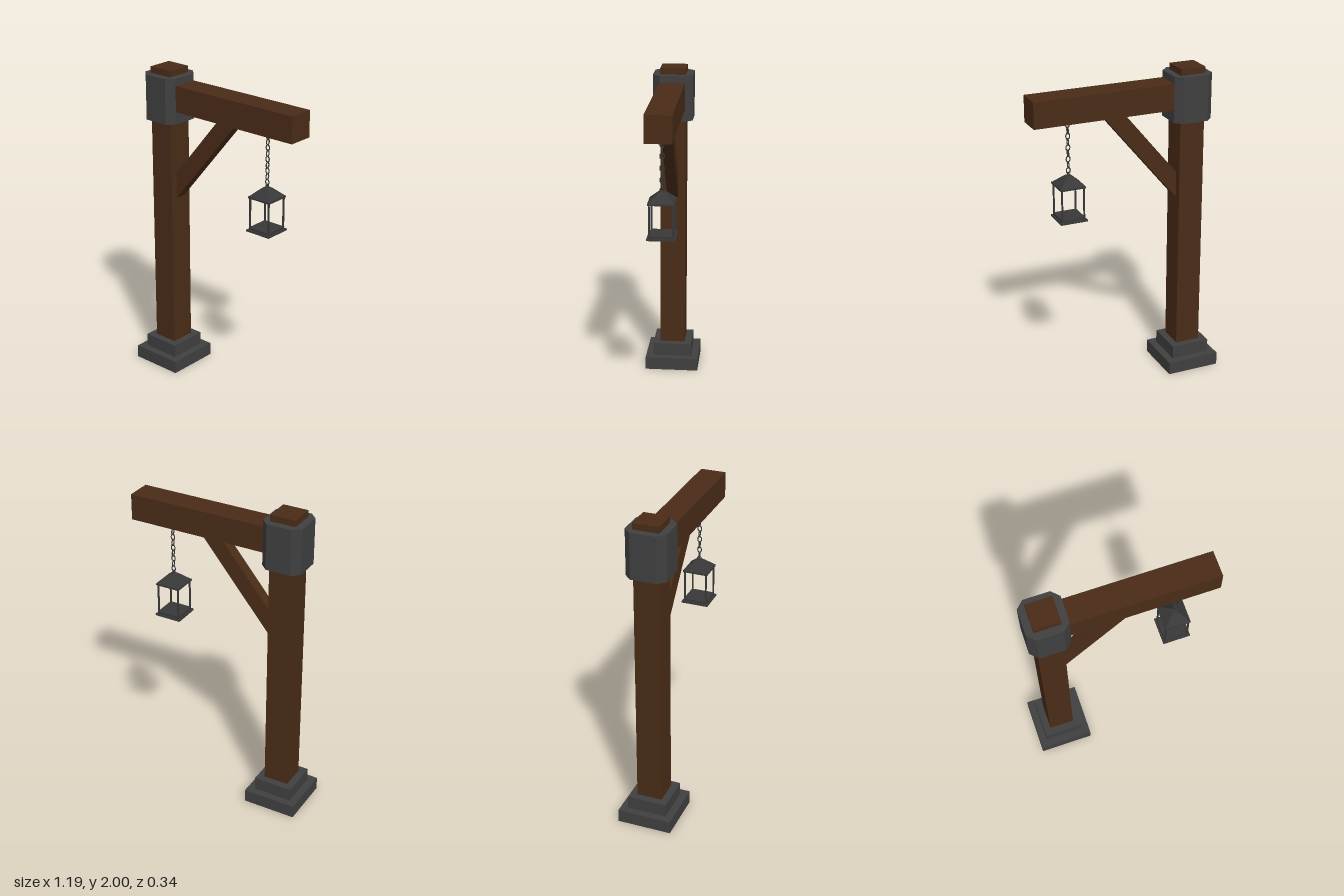
import * as THREE from 'three';

const wood = new THREE.MeshStandardMaterial({ color: 0x4a2c17, flatShading: true });
const stone = new THREE.MeshStandardMaterial({ color: 0x404040, flatShading: true });
const iron = new THREE.MeshStandardMaterial({ color: 0x383838, flatShading: true });

const POST_X = -0.423;
const LAMP_X = 0.355;

function add(parent, name, geometry, material, x = 0, y = 0, z = 0) {
  const mesh = new THREE.Mesh(geometry, material);
  mesh.name = name;
  mesh.position.set(x, y, z);
  parent.add(mesh);
  return mesh;
}

// Box given by its bottom and top heights
function block(parent, name, material, x, z, width, depth, y0, y1) {
  const geometry = new THREE.BoxGeometry(width, y1 - y0, depth);
  return add(parent, name, geometry, material, x, (y0 + y1) / 2, z);
}

function extrude(points, depth) {
  const shape = new THREE.Shape(points.map(([x, y]) => new THREE.Vector2(x, y)));
  return new THREE.ExtrudeGeometry(shape, { depth, bevelEnabled: false });
}

// Square frustum between two half widths
function frustum(parent, name, material, bottom, top, y0, y1) {
  const geometry = new THREE.CylinderGeometry(top * Math.SQRT2, bottom * Math.SQRT2, y1 - y0, 4);
  geometry.rotateY(Math.PI / 4);
  return add(parent, name, geometry, material, 0, (y0 + y1) / 2, 0);
}

function createLantern() {
  const lantern = new THREE.Group();
  lantern.name = 'lantern';
  lantern.position.x = LAMP_X;

  // Floor plate and corner rods
  block(lantern, 'lanternFoot', iron, 0, 0, 0.172, 0.172, 1.132, 1.143);
  block(lantern, 'lanternFloor', iron, 0, 0, 0.15, 0.15, 1.143, 1.157);
  for (const sx of [-1, 1]) {
    for (const sz of [-1, 1]) {
      block(lantern, 'lanternRod', iron, sx * 0.07, sz * 0.07, 0.009, 0.009, 1.15, 1.348);
    }
  }

  // Roof with a flat eave and a stepped pyramid
  block(lantern, 'lanternEave', iron, 0, 0, 0.16, 0.16, 1.344, 1.355);
  frustum(lantern, 'lanternRoof', iron, 0.077, 0.034, 1.355, 1.396);
  frustum(lantern, 'lanternCap', iron, 0.034, 0.017, 1.396, 1.411);
  add(lantern, 'lanternRing', new THREE.TorusGeometry(0.013, 0.0035, 6, 12), iron, 0, 1.418, 0)
    .rotation.y = Math.PI / 2;
  return lantern;
}

function createChain() {
  const chain = new THREE.Group();
  chain.name = 'chain';
  const linkGeometry = new THREE.TorusGeometry(0.0125, 0.0035, 6, 12);
  linkGeometry.scale(1, 1.45, 1);
  // Links turn a quarter from one to the next
  for (let i = 0; i < 9; i++) {
    const link = add(chain, 'chainLink', linkGeometry, iron, LAMP_X, 1.728 - i * 0.0357, 0);
    link.rotation.y = i % 2 ? Math.PI / 2 : 0;
  }
  return chain;
}

export function createModel() {
  const model = new THREE.Group();
  model.name = 'lanternPost';

  // Stepped foot and post
  block(model, 'lowerFoot', stone, POST_X, 0, 0.343, 0.343, 0, 0.083);
  block(model, 'upperFoot', stone, POST_X, 0, 0.25, 0.25, 0.083, 0.167);
  block(model, 'post', wood, POST_X, 0, 0.16, 0.16, 0.167, 2);

  // Collar with chamfered upright corners
  const h = 0.125, c = 0.08;
  const collar = extrude([[-c, -h], [c, -h], [h, -c], [h, c], [c, h], [-c, h], [-h, c], [-h, -c]], 0.287);
  collar.rotateX(-Math.PI / 2);
  add(model, 'collar', collar, stone, POST_X, 1.673, 0);

  // Cross beam
  const beamStart = -0.343, beamEnd = 0.592;
  block(model, 'beam', wood, (beamStart + beamEnd) / 2, 0, beamEnd - beamStart, 0.16, 1.752, 1.916);

  // Diagonal brace, cut flush with post and beam
  const brace = extrude([[-0.344, 1.17], [0.14, 1.753], [0.003, 1.753], [-0.344, 1.335]], 0.07);
  add(model, 'brace', brace, wood, 0, 0, -0.035);

  model.add(createChain(), createLantern());
  return model;
}
